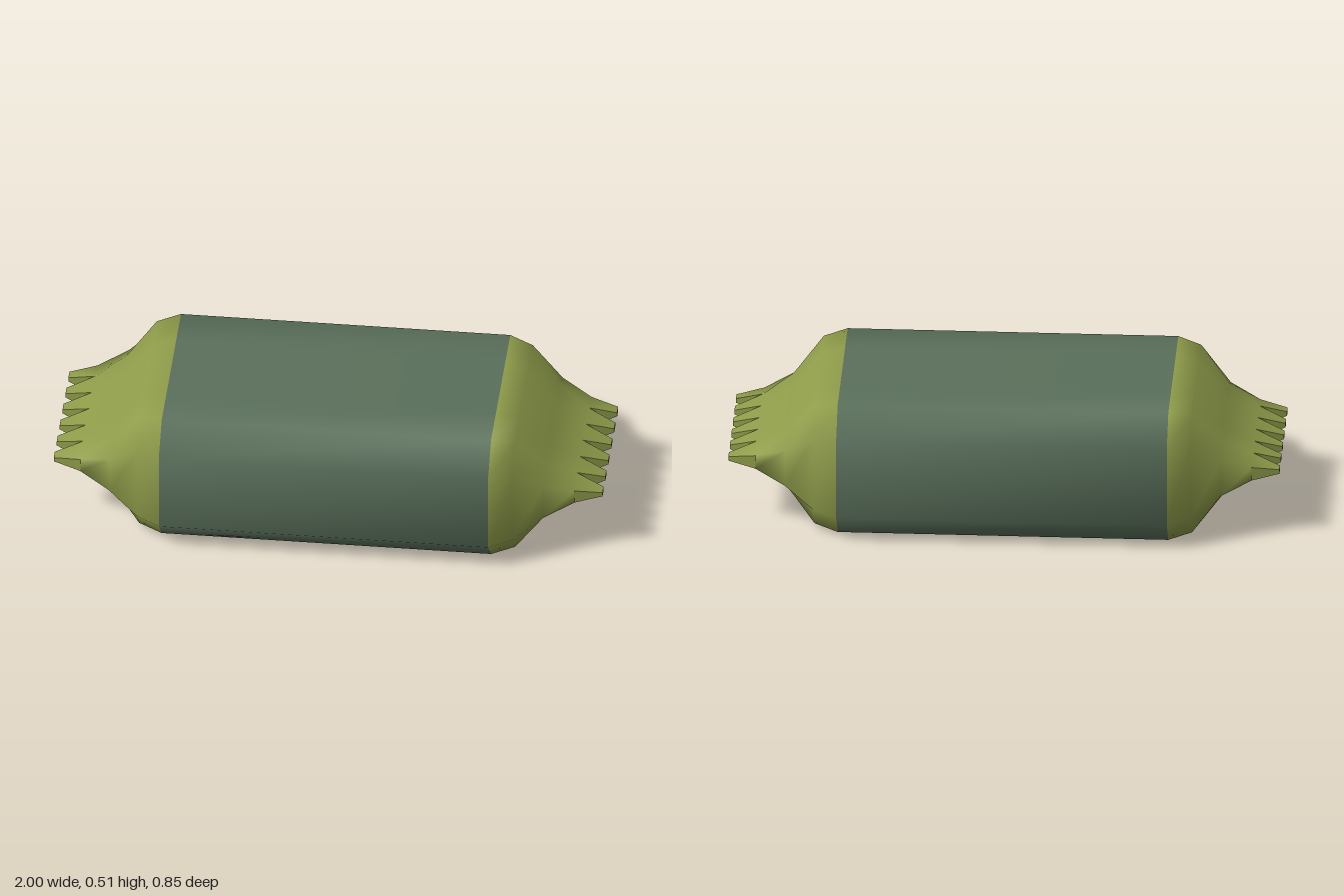
import * as THREE from 'three';

const MID = 0.255;   // height of the seam line
// Half cross-sections: [x, side half depth, side half height, top half depth, top half height]
const SECTIONS = [
  [0.6, 0.425, 0.153, 0.325, 0.255],
  [0.685, 0.387, 0.14, 0.3, 0.234],
  [0.79, 0.337, 0.07, 0.25, 0.108],
  [0.9, 0.29, 0.026, 0.2, 0.043],
];
const TIP = { x: 1, half: 0.0185, h: 0.008, step: 0.0985 };

// Fourteen points: over the top from +z to -z, then back underneath
function ring([x, w, sh, c, h], sign) {
  const top = [[w, sh], [c, h], [c / 2, h], [0, h], [-c / 2, h], [-c, h], [-w, sh]];
  const bottom = top.map(([z, y]) => [z, -y]).reverse();
  return [...top, ...bottom].map(([z, y]) => [x * sign, MID + y, z]);
}

function geometryFrom(points, index) {
  const g = new THREE.BufferGeometry();
  g.setAttribute('position', new THREE.Float32BufferAttribute(points.flat(), 3));
  g.setIndex(index);
  return g;
}

export function createModel() {
  const green = new THREE.MeshStandardMaterial({ color: 0x5a705b });
  green.name = 'dark green';
  const olive = new THREE.MeshStandardMaterial({ color: 0x8f9c4a });
  olive.name = 'olive';

  const N = 14;
  const rings = [
    ...SECTIONS.slice().reverse().map((s) => ring(s, -1)),
    ...SECTIONS.map((s) => ring(s, 1)),
  ];
  const points = rings.flat();
  const band = [], ends = [];
  const quad = (list, a, b, c, d, flip = false) =>
    flip ? list.push(a, c, b, a, d, c) : list.push(a, b, c, a, c, d);

  // Lofted skin: green middle band, olive tapering ends
  for (let i = 0; i < rings.length - 1; i++) {
    for (let j = 0; j < N; j++) {
      const k = (j + 1) % N;
      quad(i === 3 ? band : ends, i * N + j, (i + 1) * N + j, (i + 1) * N + k, i * N + k);
    }
  }

  // Serrated crimp: six teeth on each end, faces above and below share the skin's normals
  const edgePoints = [], edges = [];
  const edgeQuad = (ids, flip) => {
    const n = edgePoints.length;
    ids.forEach((id) => edgePoints.push(points[id]));
    quad(edges, n, n + 1, n + 2, n + 3, flip);
  };
  for (const sign of [-1, 1]) {
    const base = sign < 0 ? 0 : (rings.length - 1) * N;
    const flip = sign < 0;
    for (let k = 0; k < 6; k++) {
      const zc = (2.5 - k) * TIP.step;
      const t = points.length;
      for (const y of [TIP.h, -TIP.h]) {
        for (const dz of [TIP.half, -TIP.half]) points.push([sign * TIP.x, MID + y, zc + dz]);
      }
      const aT = base + k, bT = aT + 1, aB = base + 13 - k, bB = aB - 1;
      quad(ends, aT, t, t + 1, bT, flip);
      quad(ends, bB, t + 3, t + 2, aB, flip);
      edgeQuad([aB, t + 2, t, aT], flip);
      edgeQuad([bT, t + 1, t + 3, bB], flip);
      edgeQuad([t + 2, t + 3, t + 1, t], flip);
    }
  }

  const skin = geometryFrom(points, [...band, ...ends]);
  skin.computeVertexNormals();
  skin.addGroup(0, band.length, 0);
  skin.addGroup(band.length, ends.length, 1);
  const wrapper = new THREE.Mesh(skin, [green, olive]);
  wrapper.name = 'wrapper';

  // Cut faces between and at the tips of the teeth
  const cut = geometryFrom(edgePoints, edges);
  cut.computeVertexNormals();
  const toothEdges = new THREE.Mesh(cut, olive);
  toothEdges.name = 'toothEdges';

  const group = new THREE.Group();
  group.name = 'wrappedBar';
  group.add(wrapper, toothEdges);
  return group;
}
